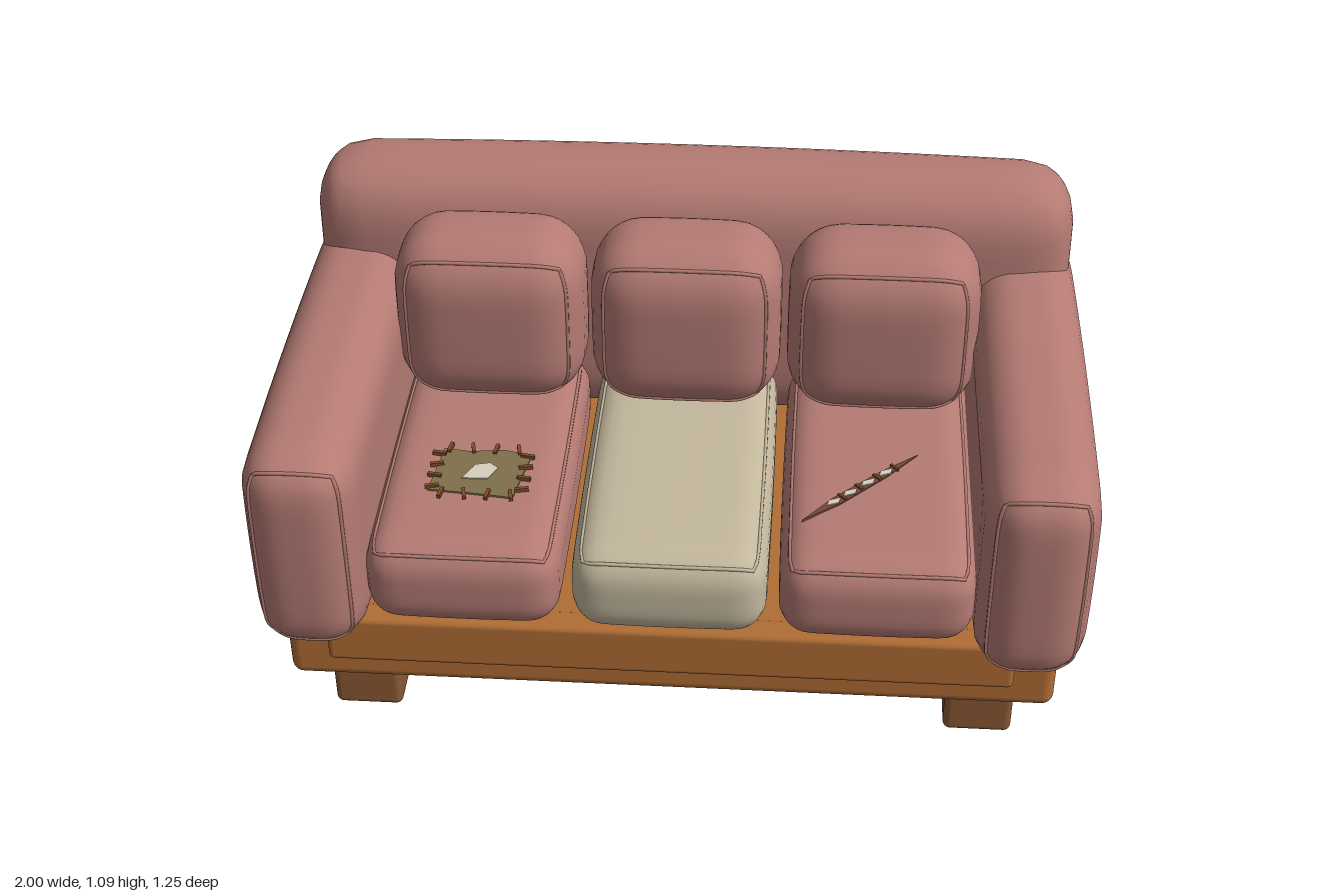
import * as THREE from 'three';
import { mergeVertices } from 'three/addons/utils/BufferGeometryUtils.js';
import { RoundedBoxGeometry } from 'three/addons/geometries/RoundedBoxGeometry.js';

const mat = (name, color) => {
  const m = new THREE.MeshStandardMaterial({ color });
  m.name = name;
  return m;
};

export function createModel() {
  const sofa = new THREE.Group();
  sofa.name = 'sofa';
  const rose = mat('rose fabric', 0xb57b74);
  const cream = mat('cream fabric', 0xc3b79d);
  const foam = mat('white stuffing', 0xd9d0bd);
  const wood = mat('frame wood', 0xb16e35);
  const legWood = mat('leg wood', 0x8b5936);
  const under = mat('underside cloth', 0x72634b);
  const olive = mat('olive patch', 0x80704c);
  const thread = mat('thread', 0x7c4a22);
  const torn = mat('torn edge', 0x75463e);

  const add = (name, geometry, material, x = 0, y = 0, z = 0, parent = sofa) => {
    const mesh = new THREE.Mesh(geometry, material);
    mesh.name = name;
    mesh.position.set(x, y, z);
    parent.add(mesh);
    return mesh;
  };

  // Rule that turns a point on a box into a point on a soft, bulging cushion
  const softener = (size, radii, bulge) => (p) => {
    const q = [p.x, p.y, p.z];
    const inner = q.map((v, i) => {
      const lim = size[i] / 2 - radii[i];
      return Math.max(-lim, Math.min(lim, v));
    });
    const d = q.map((v, i) => (v - inner[i]) / radii[i]);
    const len = Math.hypot(...d) || 1;
    const r = q.map((v, i) => inner[i] + (d[i] / len) * radii[i]);
    const s = r.map((v, i) => (v / (size[i] / 2)) ** 2);
    const sum = s[0] + s[1] + s[2];
    return p.set(...r.map((v, i) => v * (1 - (bulge[i] * (sum - s[i])) / 2)));
  };

  // Upholstered part with piping around one face (axis index and sign)
  const cushion = (name, min, max, radii, bulge, material, piped) => {
    const size = max.map((v, i) => v - min[i]);
    const soften = softener(size, radii, bulge);
    const group = new THREE.Group();
    group.name = name;
    group.position.set(...max.map((v, i) => (v + min[i]) / 2));
    sofa.add(group);

    const box = new THREE.BoxGeometry(...size, 18, 18, 18);
    box.deleteAttribute('uv');
    box.deleteAttribute('normal');
    const geo = mergeVertices(box, 1e-5);
    const pos = geo.attributes.position;
    const p = new THREE.Vector3();
    for (let i = 0; i < pos.count; i++) {
      p.fromBufferAttribute(pos, i);
      // crowd the grid towards the edges before rounding
      p.set(...[p.x, p.y, p.z].map((v, k) => Math.sin((v / size[k]) * Math.PI) * size[k] / 2));
      soften(p);
      pos.setXYZ(i, p.x, p.y, p.z);
    }
    geo.computeVertexNormals();
    add(name + 'Body', geo, material, 0, 0, 0, group);

    const [axis, sign] = piped;
    const [a, b] = [0, 1, 2].filter((i) => i !== axis);
    const corners = [[-1, -1], [1, -1], [1, 1], [-1, 1]];
    const points = [];
    corners.forEach((c, k) => {
      const n = corners[(k + 1) % 4];
      for (let i = 0; i < 12; i++) {
        const t = (1 - Math.cos(((i + 0.5) / 12) * Math.PI)) / 2;
        const q = [0, 0, 0];
        q[axis] = (sign * size[axis]) / 2;
        q[a] = ((c[0] + (n[0] - c[0]) * t) * size[a]) / 2;
        q[b] = ((c[1] + (n[1] - c[1]) * t) * size[b]) / 2;
        points.push(soften(new THREE.Vector3(...q)));
      }
    });
    const curve = new THREE.CatmullRomCurve3(points, true);
    add(name + 'Piping', new THREE.TubeGeometry(curve, 96, 0.005, 6, true), material, 0, 0, 0, group);
  };

  const rounded = (name, min, max, r, material) => add(name,
    new RoundedBoxGeometry(max[0] - min[0], max[1] - min[1], max[2] - min[2], 3, r), material,
    ...max.map((v, i) => (v + min[i]) / 2));

  // Wooden base, rails, legs and underside
  rounded('frame', [-0.935, 0.143, -0.562], [0.935, 0.355, 0.522], 0.03, wood);
  rounded('frontRail', [-0.83, 0.225, 0.48], [0.83, 0.36, 0.55], 0.015, wood);
  rounded('backRail', [-0.83, 0.225, -0.592], [0.83, 0.345, -0.52], 0.015, wood);
  add('undersidePanel', new THREE.BoxGeometry(1.7, 0.008, 0.94), under, 0, 0.141, -0.02);
  for (const s of [-1, 1]) {
    for (const z of [0.375, -0.415]) {
      const leg = new RoundedBoxGeometry(0.168, 0.16, 0.182, 3, 0.018);
      add('leg', leg, legWood, s * 0.762, 0.08, z);
    }
  }

  // Backrest and arms
  cushion('backrest', [-0.972, 0.35, -0.617], [0.972, 1.09, -0.293],
    [0.12, 0.14, 0.14], [0.01, 0.08, 0.08], rose, [2, -1]);
  for (const s of [-1, 1]) {
    const [x0, x1] = s > 0 ? [0.716, 0.992] : [-0.992, -0.716];
    cushion('arm', [x0, 0.293, -0.578], [x1, 0.868, 0.624],
      [0.1, 0.095, 0.1], [0.06, 0.08, 0.02], rose, [2, 1]);
  }

  // Three seat cushions and three back cushions
  [-0.492, 0, 0.492].forEach((x, i) => {
    cushion('seatCushion', [x - 0.235, 0.35, -0.32], [x + 0.235, 0.592, 0.572],
      [0.075, 0.085, 0.075], [0.03, 0.04, 0.02], i === 1 ? cream : rose, [1, 1]);
    cushion('backCushion', [x - 0.238, 0.57, -0.33], [x + 0.238, 1.035, -0.018],
      [0.12, 0.13, 0.12], [0.03, 0.05, 0.06], rose, [2, 1]);
  });

  // Flat cut-out lying on a seat; outline in x and z
  const flat = (name, outline, material, x, y, z) => {
    const shape = new THREE.Shape(outline.map(([u, v]) => new THREE.Vector2(u, -v)));
    const geo = new THREE.ExtrudeGeometry(shape, { depth: 0.006, bevelEnabled: false });
    geo.rotateX(-Math.PI / 2);
    return add(name, geo, material, x, y, z);
  };

  // Sewn patch on the right seat
  flat('seatPatch', [[-0.118, 0.075], [-0.1, -0.09], [-0.04, -0.08], [0.05, -0.09],
    [0.118, -0.072], [0.105, 0.0], [0.09, 0.095], [0, 0.085]], olive, -0.478, 0.59, 0.256);
  flat('patchHole', [[-0.042, 0.03], [-0.015, -0.025], [0.02, -0.034], [0.042, -0.015],
    [0.022, 0.028]], foam, -0.478, 0.593, 0.256);
  const stitch = (x, z, turn) => {
    add('stitch', new THREE.BoxGeometry(0.009, 0.01, 0.034), thread, x, 0.598, z).rotation.y = turn;
  };
  for (let i = 0; i < 4; i++) {
    const t = i / 3 - 0.5;
    const lean = i % 2 ? 0.2 : -0.15;
    for (const s of [-1, 1]) {
      stitch(-0.478 + t * 0.17, 0.256 + s * 0.089, lean);
      stitch(-0.478 + s * 0.109, 0.256 + t * 0.13, Math.PI / 2 + lean);
    }
  }

  // Diagonal tear on the left seat with stuffing showing
  const tear = new THREE.Group();
  tear.name = 'seatTear';
  tear.position.set(0.447, 0, 0.255);
  tear.rotation.y = 0.775;
  sofa.add(tear);
  tear.add(flat('tearEdge', [[-0.195, 0], [-0.08, -0.014], [0.08, -0.012], [0.195, 0],
    [0.08, 0.012], [-0.08, 0.014]], torn, 0, 0.589, 0));
  for (const x of [-0.09, -0.035, 0.025, 0.085]) {
    tear.add(flat('stuffing', [[-0.023, 0], [-0.006, -0.011], [0.023, 0], [0.006, 0.011]],
      foam, x, 0.592, 0));
  }
  for (const x of [-0.062, -0.005, 0.055, 0.115]) {
    add('tearThread', new THREE.BoxGeometry(0.006, 0.008, 0.026), thread, x, 0.596, 0, tear);
  }

  // Matching patches on the outer sides of the arms
  for (const s of [-1, 1]) {
    add('armPatch', new THREE.BoxGeometry(0.009, 0.142, 0.184), rose, s * 0.9905, 0.57, -0.222);
    for (const z of [-0.163, -0.223, -0.283]) {
      add('armStitch', new THREE.BoxGeometry(0.014, 0.026, 0.008), thread, s * 0.993, 0.506, z);
    }
  }

  // Patch and small rips on the rear of the backrest
  add('backPatch', new THREE.BoxGeometry(0.17, 0.145, 0.009), olive, 0.6, 0.8, -0.6155);
  for (const x of [0.53, 0.59, 0.65]) {
    add('backStitch', new THREE.BoxGeometry(0.009, 0.04, 0.012), thread, x, 0.73, -0.617);
  }
  add('backRip', new THREE.BoxGeometry(0.008, 0.06, 0.009), torn, 0.32, 0.935, -0.611);
  add('backRip', new THREE.BoxGeometry(0.008, 0.13, 0.009), torn, -0.3, 0.88, -0.614);

  return sofa;
}
